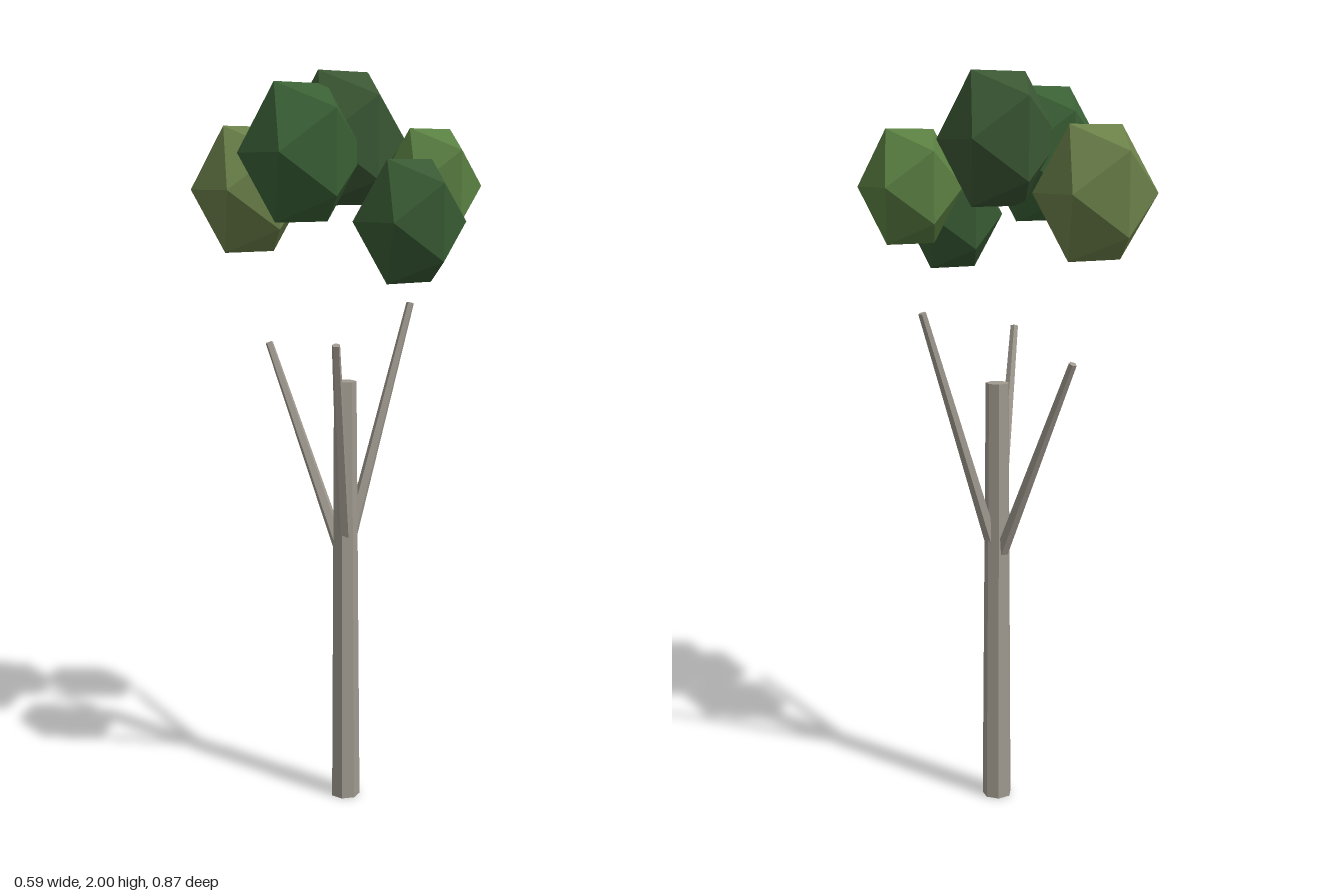
import * as THREE from 'three';

const bark = new THREE.MeshStandardMaterial({ color: 0xa09a8f, flatShading: true });

// Tapered, faceted limb between two points
function limb(name, from, to, rBase, rTip, sides) {
  const a = new THREE.Vector3(...from);
  const b = new THREE.Vector3(...to);
  const dir = b.clone().sub(a);
  const geo = new THREE.CylinderGeometry(rTip, rBase, dir.length(), sides);
  const mesh = new THREE.Mesh(geo, bark);
  mesh.name = name;
  mesh.position.copy(a).add(b).multiplyScalar(0.5);
  mesh.quaternion.setFromUnitVectors(new THREE.Vector3(0, 1, 0), dir.normalize());
  return mesh;
}

// Leaf clump: icosahedron, slightly narrow in x and stretched in y
function clump(name, center, radius, color) {
  const mesh = new THREE.Mesh(
    new THREE.IcosahedronGeometry(radius, 0),
    new THREE.MeshStandardMaterial({ color, flatShading: true })
  );
  mesh.name = name;
  mesh.position.set(...center);
  mesh.scale.set(0.92, 1.185, 1);
  return mesh;
}

export function createModel() {
  const tree = new THREE.Group();
  tree.name = 'tree';

  // Trunk
  tree.add(limb('trunk', [-0.015, 0, -0.02], [-0.015, 1.185, -0.02], 0.041, 0.032, 7));

  // Branches, rooted inside the trunk
  const branches = [
    ['leftBranch', [-0.005, 0.72, -0.02], [0.209, 1.385, -0.01]],
    ['rightBranch', [-0.015, 0.72, -0.02], [-0.183, 1.31, 0.157]],
    ['backBranch', [-0.015, 0.68, -0.02], [-0.062, 1.268, -0.303]],
  ];
  for (const [name, from, to] of branches) tree.add(limb(name, from, to, 0.019, 0.011, 5));

  // Foliage
  const foliage = new THREE.Group();
  foliage.name = 'foliage';
  const clumps = [
    ['backClump', [-0.133, 1.693, -0.291], 0.1675, 0x6b8049],
    ['leftClump', [0.182, 1.704, 0.096], 0.147, 0x5a7f42],
    ['rightClump', [-0.161, 1.788, -0.014], 0.174, 0x3a6035],
    ['topClump', [-0.011, 1.826, -0.029], 0.171, 0x3a5733],
    ['frontClump', [-0.069, 1.62, 0.305], 0.149, 0x385a33],
  ];
  for (const args of clumps) foliage.add(clump(...args));
  tree.add(foliage);

  return tree;
}
